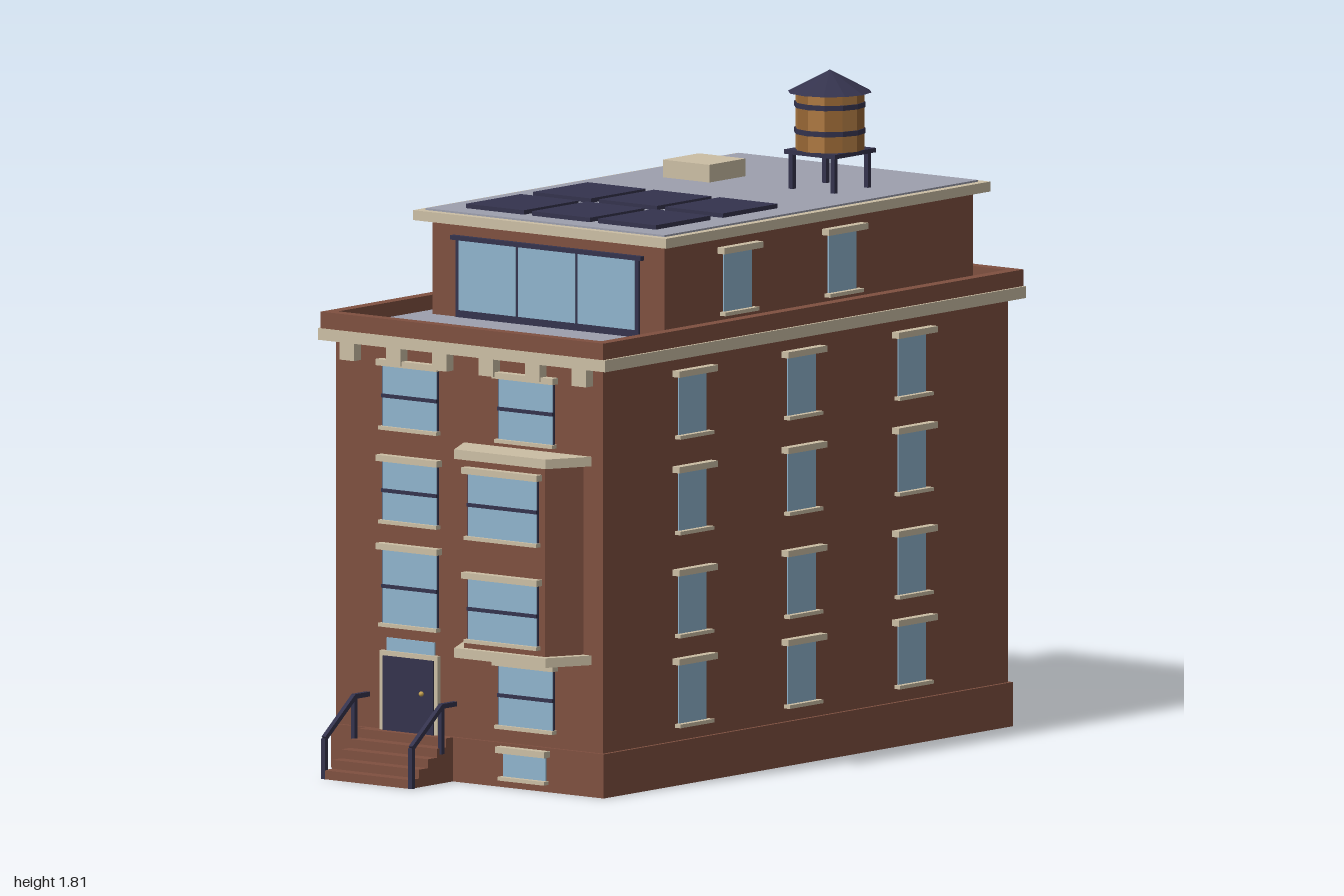
import * as THREE from 'three';

const mat = (name, color) => {
  const m = new THREE.MeshStandardMaterial({ color });
  m.name = name;
  return m;
};

export function createModel() {
  const brick = mat('brick', 0x7f5040);
  const stone = mat('stone trim', 0xcbbea4);
  const glass = mat('glass', 0x8fb4cd);
  const iron = mat('dark metal', 0x34334d);
  const roofing = mat('roofing', 0x9d9fae);
  const wood = mat('wood', 0xae7a42);
  const woodDark = mat('dark wood', 0x966634);
  const brass = mat('brass', 0xc9a552);
  wood.flatShading = woodDark.flatShading = iron.flatShading = true;

  const model = new THREE.Group();
  model.name = 'apartmentBuilding';

  const add = (name, geo, m, parent = model) => {
    const mesh = new THREE.Mesh(geo, m);
    mesh.name = name;
    parent.add(mesh);
    return mesh;
  };
  // Box given by its min and max on each axis
  const box = (name, m, x0, x1, y0, y1, z0, z1, parent) => {
    const mesh = add(name, new THREE.BoxGeometry(x1 - x0, y1 - y0, z1 - z0), m, parent);
    mesh.position.set((x0 + x1) / 2, (y0 + y1) / 2, (z0 + z1) / 2);
    return mesh;
  };
  // Straight bar between two points
  const bar = (name, a, b, t, parent) => {
    const p = new THREE.Vector3(...a), q = new THREE.Vector3(...b);
    const mesh = add(name, new THREE.BoxGeometry(t, t, p.distanceTo(q)), iron, parent);
    mesh.position.copy(p).lerp(q, 0.5);
    mesh.lookAt(q);
    return mesh;
  };
  // Window facing local +z, then turned and placed on a wall
  const addWindow = (x, z, turn, w, y0, y1, { sash = true, over = 0.02 } = {}) => {
    const g = new THREE.Group();
    g.name = 'window';
    const h = w / 2, mid = (y0 + y1) / 2;
    if (sash) {
      box('windowFrame', iron, -h, h, y0, y1, -0.01, 0.008, g);
      box('meetingRail', iron, -h, h, mid - 0.005, mid + 0.005, 0, 0.014, g);
    }
    const front = sash ? 0.01 : 0.004;
    box('pane', glass, -h + 0.002, h - 0.002, y0, y1, front - 0.006, front, g);
    box('lintel', stone, -h - over / 2, h + over / 2, y1, y1 + 0.017, -0.01, 0.025, g);
    box('sill', stone, -h - over / 4, h + over / 4, y0 - 0.01, y0, -0.01, 0.02, g);
    g.position.set(x, 0, z);
    g.rotation.y = turn;
    model.add(g);
  };

  // Main block, plinth and cornice
  box('plinth', brick, -0.47, 0.47, 0, 0.12, -0.945, 0.815);
  box('walls', brick, -0.46, 0.46, 0.12, 1.165, -0.935, 0.805);
  box('cornice', stone, -0.495, 0.495, 1.163, 1.195, -0.97, 0.84);
  for (let i = 0; i < 6; i++) {
    const x = -0.4 + i * 0.16;
    box('corniceBracket', stone, x - 0.025, x + 0.025, 1.115, 1.163, 0.8, 0.835);
  }

  // Parapet around the terrace
  box('terraceFloor', roofing, -0.46, 0.46, 1.19, 1.2, -0.94, 0.81);
  for (const s of [-1, 1]) {
    const x = s * 0.47;
    box('sideParapet', brick, x - 0.017, x + 0.017, 1.195, 1.24, -0.97, 0.838);
  }
  box('frontParapet', brick, -0.455, 0.455, 1.195, 1.24, 0.804, 0.838);
  box('backParapet', brick, -0.455, 0.455, 1.195, 1.24, -0.97, -0.936);

  // Penthouse with a glazed front
  box('penthouse', brick, -0.4, 0.4, 1.2, 1.457, -0.86, 0.465);
  box('penthouseCoping', stone, -0.436, 0.436, 1.456, 1.483, -0.89, 0.504);
  box('penthouseRoof', roofing, -0.412, 0.412, 1.48, 1.488, -0.866, 0.48);
  box('glazingFrame', iron, -0.315, 0.315, 1.2, 1.416, 0.46, 0.472);
  box('glazingHead', iron, -0.328, 0.328, 1.41, 1.422, 0.46, 0.48);
  for (let i = 0; i < 3; i++) {
    const x = (i - 1) * 0.205;
    box('glazingPane', glass, x - 0.098, x + 0.098, 1.22, 1.41, 0.469, 0.475);
  }

  // Windows: floors given as bottom and top heights
  const floors = [[0.166, 0.328], [0.41, 0.57], [0.69, 0.85], [0.95, 1.11]];
  for (const s of [-1, 1]) {
    for (const [a, b] of floors) {
      for (const z of [0.424, -0.045, -0.52])
        addWindow(s * 0.46, z, s * Math.PI / 2, 0.123, a, b, { sash: false, over: 0.043 });
      addWindow(s * 0.2, -0.935, Math.PI, 0.19, a, b);
    }
    for (const z of [0.155, -0.295])
      addWindow(s * 0.4, z, s * Math.PI / 2, 0.123, 1.25, 1.41, { sash: false, over: 0.045 });
    addWindow(s * 0.2, -0.86, Math.PI, 0.19, 1.25, 1.41);
    addWindow(s * 0.2, 0.805, 0, 0.19, 0.945, 1.11);
  }
  addWindow(-0.2, 0.805, 0, 0.19, 0.69, 0.85);
  addWindow(-0.2, 0.805, 0, 0.19, 0.41, 0.61);
  addWindow(0.2, 0.805, 0, 0.19, 0.168, 0.33);
  addWindow(0.2, 0.815, 0, 0.15, 0.03, 0.095, { sash: false });

  // Bay: trapezoid plan between its two stone bands
  const bayPrism = (name, m, back, front, z, y0, y1) => {
    const plan = new THREE.Shape([
      new THREE.Vector2(-back, -0.8), new THREE.Vector2(-front, -z),
      new THREE.Vector2(front, -z), new THREE.Vector2(back, -0.8)]);
    const geo = new THREE.ExtrudeGeometry(plan, { depth: y1 - y0, bevelEnabled: false });
    geo.rotateX(-Math.PI / 2);
    add(name, geo, m).position.set(0.2, y0, 0);
  };
  bayPrism('bayWalls', brick, 0.195, 0.14, 0.905, 0.38, 0.9);
  bayPrism('bayBase', stone, 0.222, 0.157, 0.925, 0.357, 0.383);
  bayPrism('bayCap', stone, 0.222, 0.157, 0.925, 0.897, 0.923);
  addWindow(0.2, 0.905, 0, 0.24, 0.41, 0.575);
  addWindow(0.2, 0.905, 0, 0.24, 0.69, 0.86);

  // Entrance door
  box('doorSurround', stone, -0.3, -0.1, 0.12, 0.335, 0.8, 0.818);
  box('door', iron, -0.287, -0.113, 0.12, 0.322, 0.81, 0.822);
  box('transom', glass, -0.283, -0.117, 0.335, 0.37, 0.802, 0.81);
  add('doorKnob', new THREE.SphereGeometry(0.007, 10, 8), brass).position.set(-0.15, 0.23, 0.826);

  // Front steps and handrails
  for (let i = 0; i < 5; i++)
    box('step', brick, -0.35, -0.05, 0, 0.12 - i * 0.024, 0.81, 0.845 + i * 0.0385);
  for (const x of [-0.35, -0.05]) {
    bar('railPost', [x, 0, 0.993], [x, 0.11, 0.993], 0.013);
    bar('railPost', [x, 0.08, 0.865], [x, 0.21, 0.865], 0.013);
    bar('slopedRail', [x, 0.11, 0.993], [x, 0.21, 0.865], 0.013);
    bar('levelRail', [x, 0.21, 0.868], [x, 0.21, 0.8], 0.013);
  }

  // Fire escape: balconies joined by alternating ladders
  for (const y of [0.388, 0.65, 0.908])
    box('fireBalcony', iron, -0.28, 0.28, y, y + 0.073, -0.993, -0.935);
  const ladders = [
    [0.2, 0.13, -0.945, 0.39, -0.987],
    [-0.2, 0.46, -0.987, 0.652, -0.945],
    [0.2, 0.72, -0.945, 0.91, -0.987]];
  for (const [x, y0, z0, y1, z1] of ladders) {
    for (const dx of [-0.04, 0.04])
      bar('ladderSide', [x + dx, y0, z0], [x + dx, y1, z1], 0.01);
    for (let i = 1; i < 6; i++) {
      const t = i / 6, y = y0 + (y1 - y0) * t, z = z0 + (z1 - z0) * t;
      bar('ladderRung', [x - 0.04, y, z], [x + 0.04, y, z], 0.006);
    }
  }

  // Solar panels and roof hatch
  for (const x of [-0.2275, 0, 0.2275])
    for (const z of [0.007, 0.295])
      box('solarPanel', iron, x - 0.1, x + 0.1, 1.486, 1.5, z - 0.118, z + 0.118);
  box('roofHatch', stone, -0.28, -0.12, 1.485, 1.536, -0.53, -0.375);

  // Water tank
  const tank = new THREE.Group();
  tank.name = 'waterTank';
  tank.position.set(0.197, 0, -0.498);
  model.add(tank);
  for (const x of [-0.072, 0.072])
    for (const z of [-0.072, 0.072])
      box('tankLeg', iron, x - 0.007, x + 0.007, 1.485, 1.585, z - 0.007, z + 0.007, tank);
  box('tankPlatform', iron, -0.088, 0.088, 1.583, 1.595, -0.088, 0.088, tank);
  const barrel = new THREE.CylinderGeometry(0.094, 0.094, 0.157, 12);
  // Staves alternate between two wood tones
  barrel.clearGroups();
  for (let i = 0; i < 12; i++) barrel.addGroup(i * 6, 6, i % 2);
  barrel.addGroup(72, 72, 0);
  add('tankBarrel', barrel, [wood, woodDark], tank).position.y = 1.673;
  for (const y of [1.646, 1.717])
    add('tankHoop', new THREE.CylinderGeometry(0.097, 0.097, 0.014, 12), iron, tank).position.y = y;
  const cone = add('tankRoof', new THREE.ConeGeometry(0.114, 0.06, 12), iron, tank);
  cone.position.y = 1.78;

  return model;
}
